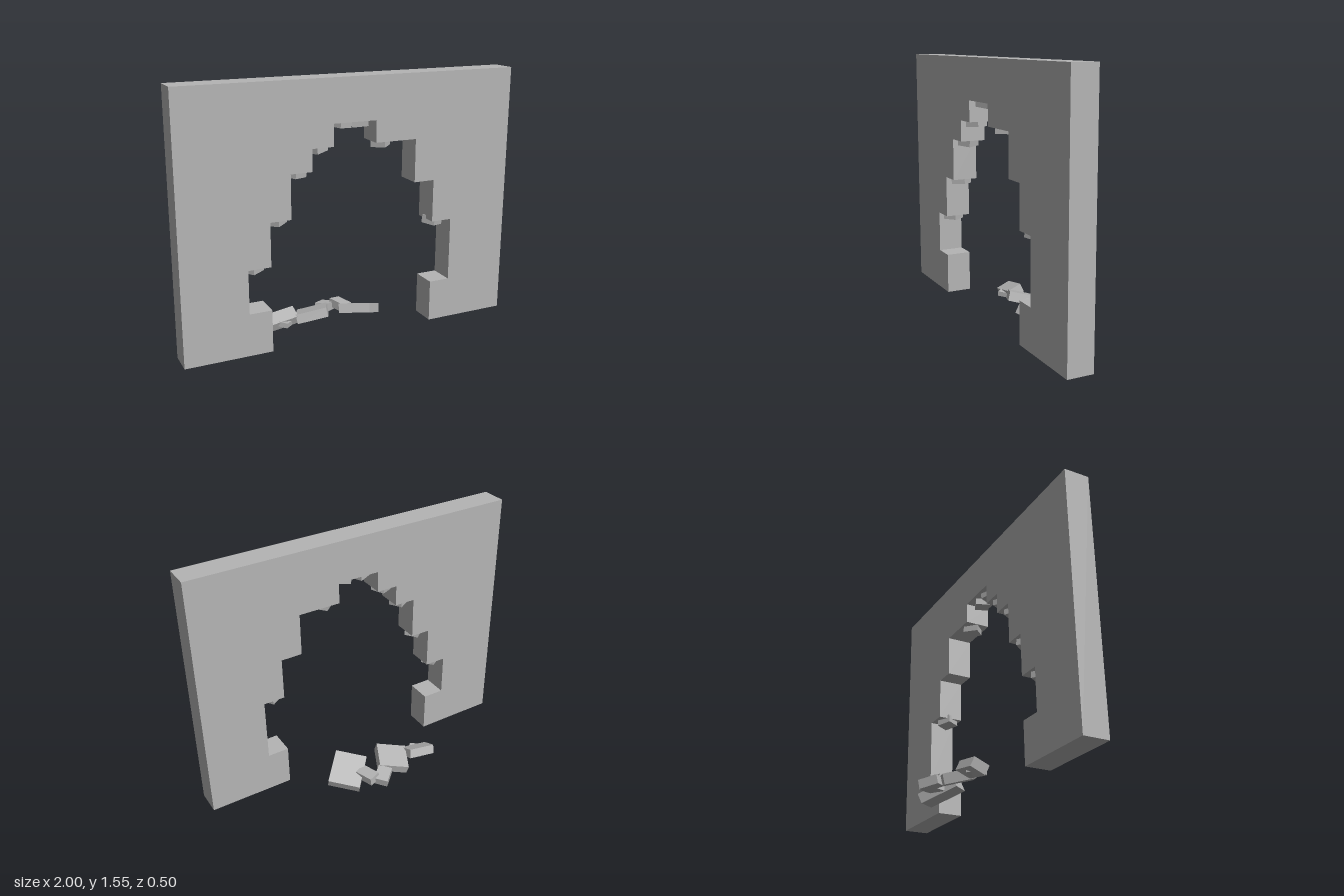
import * as THREE from 'three';

export function createModel() {
  const group = new THREE.Group();
  group.name = 'brokenWall';
  const stone = new THREE.MeshStandardMaterial({ color: 0xb4b4b4, flatShading: true });
  stone.name = 'grey stone';

  const add = (geometry, name) => {
    const mesh = new THREE.Mesh(geometry, stone);
    mesh.name = name;
    group.add(mesh);
    return mesh;
  };

  // Wall slab with a stepped breach open at the bottom
  const outline = [
    [-1, 0.06], [-0.5, 0.06], [-0.5, 0.305], [-0.63, 0.305], [-0.63, 0.555],
    [-0.5, 0.555], [-0.5, 0.805], [-0.38, 0.805], [-0.38, 1.055], [-0.255, 1.055],
    [-0.255, 1.18], [-0.13, 1.18], [-0.13, 1.305], [0.125, 1.305], [0.125, 1.18],
    [0.375, 1.18], [0.375, 0.93], [0.5, 0.93], [0.5, 0.68], [0.625, 0.68],
    [0.625, 0.305], [0.5, 0.305], [0.5, 0.06], [1, 0.06], [1, 1.55], [-1, 1.55],
  ].map(([x, y]) => new THREE.Vector2(x, y));
  const wall = add(
    new THREE.ExtrudeGeometry(new THREE.Shape(outline), { depth: 0.15, bevelEnabled: false }),
    'wall');
  wall.position.z = 0.103;

  // Loose chunks under the ledges: x, ledge height, turn, tilt
  const chunks = [
    [-0.58, 0.555, 0.6, 0.02], [-0.44, 0.805, 0.7, 0.08], [-0.325, 1.055, 0.5, -0.08],
    [-0.2, 1.18, 0.5, 0.1], [-0.055, 1.305, 0.4, -0.1], [0.06, 1.305, -0.4, 0.1],
    [0.19, 1.18, 0.75, 0.05], [0.545, 0.68, 0.5, -0.14],
  ];
  chunks.forEach(([x, y, turn, tilt], i) => {
    const chunk = add(new THREE.BoxGeometry(0.09, 0.05, 0.085), `ledgeChunk${i + 1}`);
    chunk.position.set(x, y - 0.01, 0.178);
    chunk.rotation.set(0, turn, tilt, 'ZYX');
  });

  // Fallen block placed by three corners of its top face and its thickness
  const block = (name, front, right, left, thickness) => {
    const f = new THREE.Vector3(...front);
    const u = new THREE.Vector3(...right).sub(f);
    const v = new THREE.Vector3(...left).sub(f);
    const n = u.clone().cross(v).normalize();
    const mesh = add(new THREE.BoxGeometry(u.length(), thickness, v.length()), name);
    mesh.position.copy(f).addScaledVector(u, 0.5).addScaledVector(v, 0.5)
      .addScaledVector(n, -thickness / 2);
    const ux = u.clone().normalize();
    mesh.quaternion.setFromRotationMatrix(
      new THREE.Matrix4().makeBasis(ux, n, ux.clone().cross(n)));
  };
  block('largeRubbleRight', [0.185, 0.16, 0.085], [0.325, 0.08, -0.06], [0.03, 0.14, -0.03], 0.057);
  block('largeRubbleLeft', [-0.08, 0.155, 0.03], [-0.01, 0.118, -0.12], [-0.24, 0.107, -0.055], 0.057);
  block('rubbleFarLeft', [-0.41, 0.07, -0.045], [-0.235, 0.1, -0.04], [-0.4, 0.107, -0.13], 0.055);
  block('rubbleBack', [0, 0.11, -0.12], [0.08, 0.09, -0.19], [-0.065, 0.105, -0.175], 0.05);

  // Small pieces tucked between the larger blocks
  const pieces = [
    ['smallRubbleLeft', [0.085, 0.03, 0.085], [-0.31, 0.065, -0.07], 0.75, -0.1],
    ['smallRubbleMiddle', [0.075, 0.05, 0.12], [0.09, 0.085, -0.135], 0.3, -0.12],
  ];
  for (const [name, size, position, turn, tilt] of pieces) {
    const piece = add(new THREE.BoxGeometry(...size), name);
    piece.position.set(...position);
    piece.rotation.set(0, turn, tilt, 'ZYX');
  }
  return group;
}
